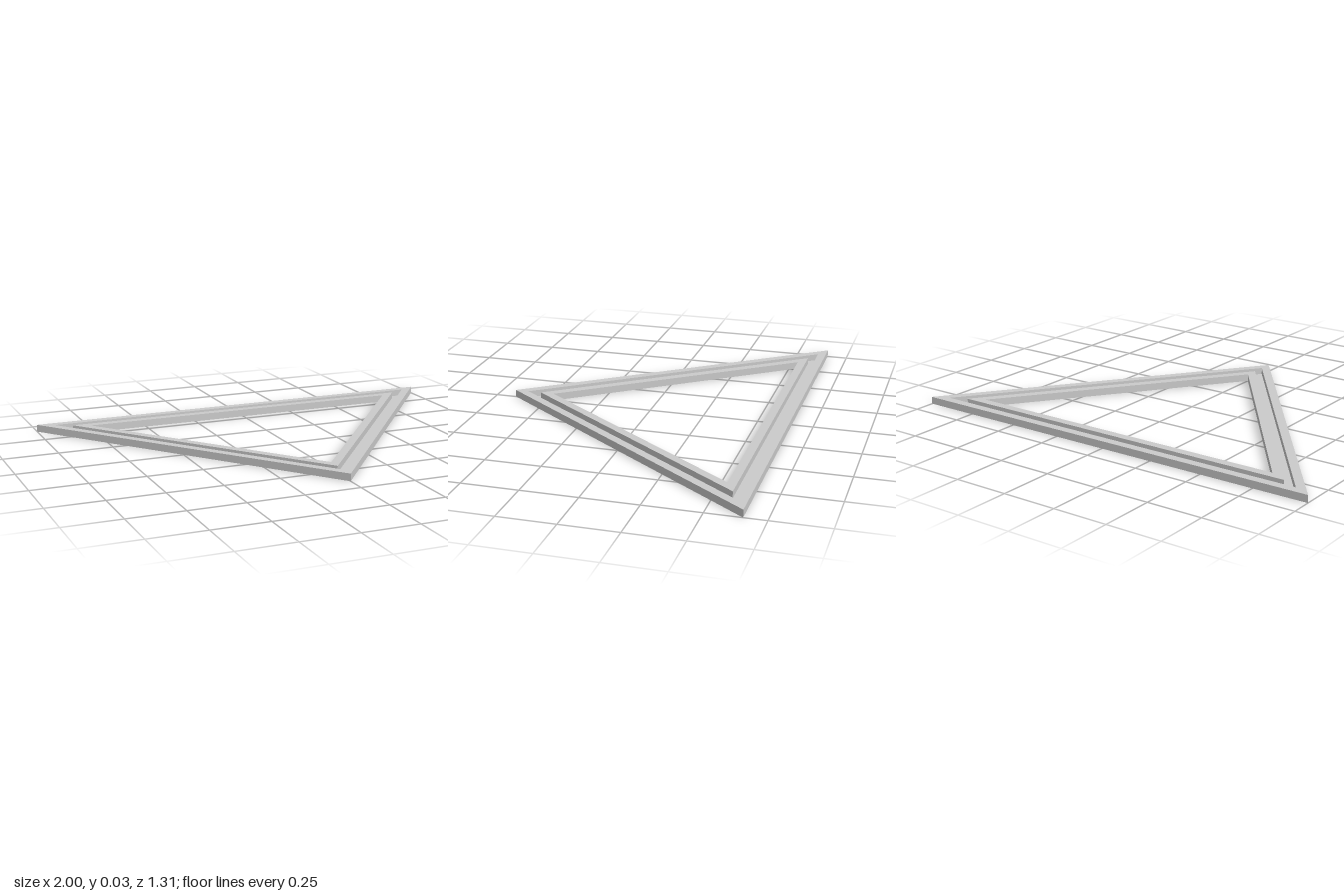
import * as THREE from 'three';

// Triangle corners (x, z) and the point the frame shrinks towards
const CORNERS = [[-1, -0.655], [1, -0.655], [0, 0.655]];
const CENTRE_Z = -0.16;
const HEIGHT = 0.033;
const FLOOR = 0.003;

// Rail cross-section: [scale about the centre, height], outer wall to inner wall
const PROFILE = [
  [1, 0], [1, HEIGHT],
  [0.923, HEIGHT], [0.923, FLOOR],
  [0.847, FLOOR], [0.847, HEIGHT],
  [0.77, HEIGHT], [0.77, 0],
];

// Sweeps the profile around the triangle with mitred corners
function sweepRail() {
  const point = (corner, i) => {
    const [x, z] = CORNERS[corner % CORNERS.length];
    const [scale, y] = PROFILE[i % PROFILE.length];
    return [x * scale, y, CENTRE_Z + (z - CENTRE_Z) * scale];
  };
  const positions = [];
  for (let c = 0; c < CORNERS.length; c++) {
    for (let i = 0; i < PROFILE.length; i++) {
      const p = point(c, i), q = point(c, i + 1);
      const r = point(c + 1, i + 1), s = point(c + 1, i);
      positions.push(...p, ...q, ...r, ...p, ...r, ...s);
    }
  }
  const geometry = new THREE.BufferGeometry();
  geometry.setAttribute('position', new THREE.Float32BufferAttribute(positions, 3));
  geometry.computeVertexNormals();
  return geometry;
}

export function createModel() {
  const group = new THREE.Group();
  group.name = 'triangularFrame';

  // Flat frame with a groove running along its upper face
  const material = new THREE.MeshStandardMaterial({ color: 0xcccccc, flatShading: true });
  const frame = new THREE.Mesh(sweepRail(), material);
  frame.name = 'groovedFrame';
  group.add(frame);
  return group;
}
